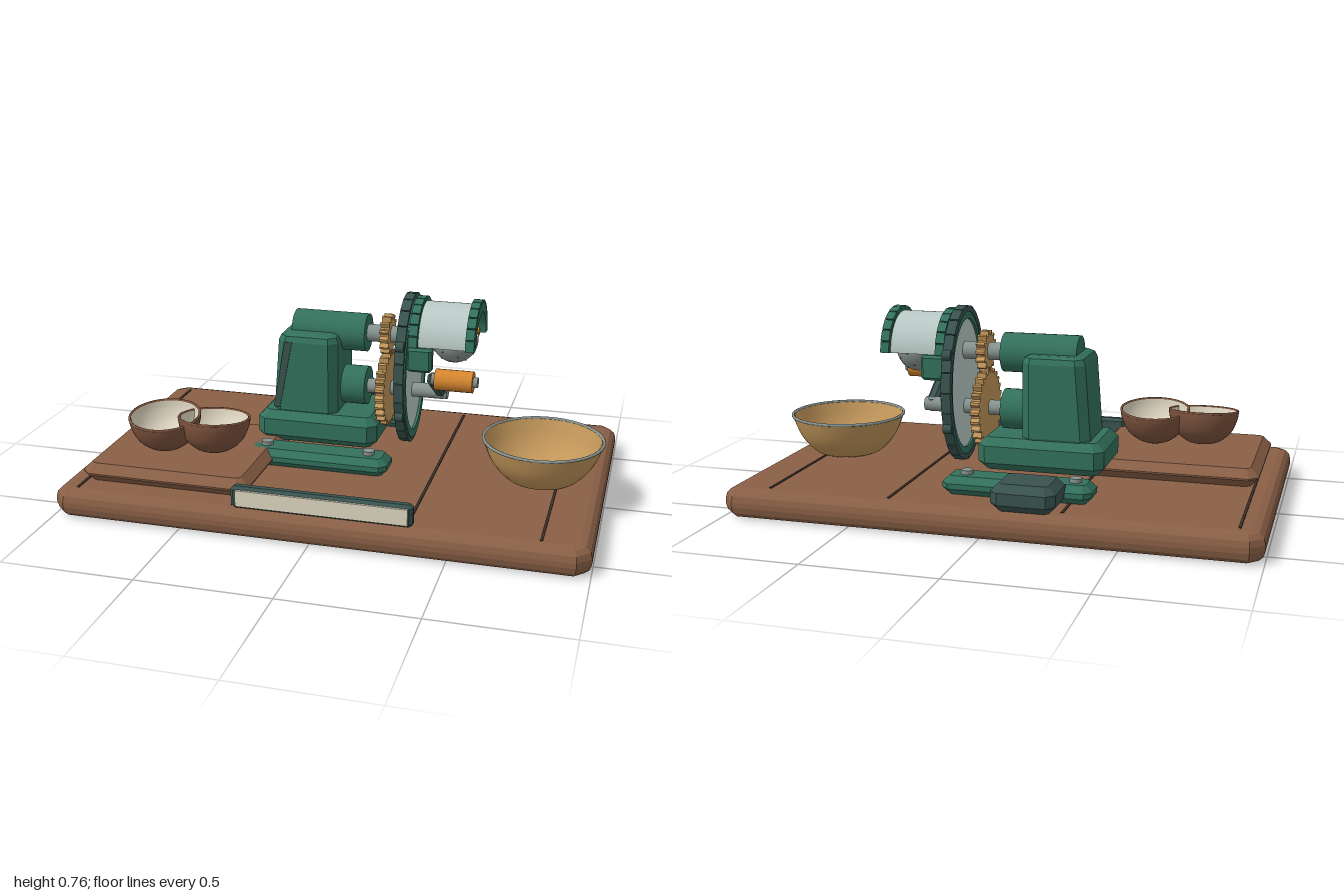
import * as THREE from 'three';

const mat = (name, color, side = THREE.FrontSide) => {
  const m = new THREE.MeshStandardMaterial({ color, side });
  m.name = name;
  return m;
};

export function createModel() {
  const model = new THREE.Group();
  model.name = 'handCrankedGrater';
  const green = mat('green enamel', 0x33715d), darkGreen = mat('dark green', 0x39534f);
  const wood = mat('wood', 0x8a6046), shell = mat('shell brown', 0x7d533d, THREE.DoubleSide);
  const brass = mat('golden', 0xc2965a, THREE.DoubleSide), orange = mat('orange', 0xd5862f);
  const cream = mat('cream', 0xded6c1, THREE.DoubleSide), steel = mat('steel', 0x87938f);
  const pale = mat('pale metal', 0xb9c9c5), dark = mat('dark groove', 0x3a2e28);
  const AZ = -0.115, UP = 0.59, LOW = 0.37; // axle line and the two axle heights

  const add = (name, geo, material, x = 0, y = 0, z = 0, parent = model) => {
    const m = new THREE.Mesh(geo, material);
    m.name = name;
    m.position.set(x, y, z);
    parent.add(m);
    return m;
  };

  // Bevelled box, centred on the origin
  const bevelBox = (w, h, d, b, seg = 1) => {
    const X = w / 2 - b, Z = d / 2 - b, c = Math.min(b * 0.5, X * 0.5, Z * 0.5);
    const s = new THREE.Shape([[X - c, -Z], [X, c - Z], [X, Z - c], [X - c, Z], [c - X, Z], [-X, Z - c], [-X, c - Z], [c - X, -Z]]
      .map(p => new THREE.Vector2(...p)));
    return new THREE.ExtrudeGeometry(s, { depth: h - 2 * b, bevelThickness: b, bevelSize: b, bevelSegments: seg })
      .rotateX(-Math.PI / 2).center();
  };
  const block = (name, m, x0, x1, y0, y1, z0, z1, b, seg) =>
    add(name, bevelBox(x1 - x0, y1 - y0, z1 - z0, b, seg), m, (x0 + x1) / 2, (y0 + y1) / 2, (z0 + z1) / 2);

  // Cylinder and extrusion running along x
  const rod = (name, m, x0, x1, r, y, z = AZ, sides = 32) =>
    add(name, new THREE.CylinderGeometry(r, r, x1 - x0, sides).rotateZ(Math.PI / 2), m, (x0 + x1) / 2, y, z);
  const extrudeX = (name, m, shape, x0, x1, y, z = AZ) =>
    add(name, new THREE.ExtrudeGeometry(shape, { depth: x1 - x0, bevelEnabled: false, curveSegments: 32 })
      .rotateY(Math.PI / 2), m, x0, y, z);

  // Board with grooves, and chopping board
  block('baseBoard', wood, -1, 1, 0, 0.11, -0.622, 0.622, 0.045, 3);
  for (const x of [-0.91, -0.295, 0.355, 0.825])
    add('boardGroove', new THREE.BoxGeometry(0.01, 0.006, 1.12), dark, x, 0.11, 0.01);
  block('choppingBoard', wood, -0.925, -0.262, 0.11, 0.18, -0.08, 0.52, 0.032);

  // Mounting rails with bolts, and counterweight
  for (const z of [0.135, -0.39]) {
    block('mountingRail', green, -0.375, 0.187, 0.11, 0.18, z - 0.07, z + 0.07, 0.025);
    for (const x of [-0.305, 0.105])
      add('railBolt', new THREE.CylinderGeometry(0.023, 0.023, 0.03, 16), steel, x, 0.18, z);
  }
  block('counterweight', darkGreen, -0.28, -0.043, 0.11, 0.21, -0.615, -0.415, 0.028);

  // Machine housing
  block('housingFoot', green, -0.375, 0.11, 0.16, 0.285, -0.27, 0.06, 0.03);
  const body = block('housingBody', green, -0.32, -0.055, 0.26, 0.6, -0.245, 0.03, 0.03, 2);
  const p = body.geometry.attributes.position;
  for (let i = 0; i < p.count; i++)
    if (p.getX(i) < 0) p.setX(i, p.getX(i) + (p.getY(i) + 0.17) * 0.08);
  body.geometry.computeVertexNormals();
  const strip = new THREE.Shape([[-0.31, 0.3], [-0.285, 0.3], [-0.232, 0.57], [-0.262, 0.57]].map(q => new THREE.Vector2(...q)));
  add('housingStrip', new THREE.ExtrudeGeometry(strip, { depth: 0.006, bevelEnabled: false }), darkGreen, 0, 0, 0.028);
  rod('upperBearing', green, -0.255, 0.04, 0.075, UP);
  rod('lowerBearing', green, -0.2, 0.04, 0.077, LOW);
  rod('upperShaft', steel, 0.04, 0.32, 0.034, UP);
  rod('lowerShaft', steel, 0.04, 0.345, 0.029, LOW);

  // Meshing gears
  const gear = (name, r, teeth, y) => {
    const s = new THREE.Shape();
    for (let i = 0; i < teeth * 4; i++) {
      const a = i / (teeth * 4) * Math.PI * 2, R = i % 4 < 2 ? r : r - 0.018;
      s[i ? 'lineTo' : 'moveTo'](R * Math.cos(a), R * Math.sin(a));
    }
    extrudeX(name, brass, s, 0.1, 0.135, y);
  };
  gear('smallGear', 0.08, 14, UP);
  gear('largeGear', 0.152, 26, LOW);

  // Oval guard plate with a segmented rim
  const CY = 0.46;
  const oval = (rz, ry) => new THREE.Shape().absellipse(0, 0, rz, ry, 0, Math.PI * 2);
  extrudeX('guardPlate', pale, oval(0.19, 0.27), 0.2, 0.222, CY);
  const ring = oval(0.2, 0.285);
  ring.holes.push(oval(0.176, 0.25));
  extrudeX('guardRing', green, ring, 0.192, 0.232, CY);
  const N = 24;
  for (let i = 0; i < N; i++) {
    const a = (i + 0.5) / N * Math.PI * 2, c = Math.cos(a), s = Math.sin(a);
    const tz = -0.2 * s, ty = 0.288 * c;
    add('rimSegment', new THREE.BoxGeometry(0.037, 0.024, Math.hypot(tz, ty) * Math.PI * 2 / N * 0.99),
      darkGreen, 0.2085, CY + 0.288 * s, AZ + 0.2 * c).rotation.x = Math.atan2(-ty, tz);
  }
  for (const y of [-0.14, 0.14]) for (const z of [-0.185, 0.185])
    rod('guardBolt', darkGreen, 0.192, 0.225, 0.02, CY + y, AZ + z, 12);

  // Half-round hood with segmented end arches
  const arch = (R, r) => {
    const s = new THREE.Shape();
    s.absarc(0, 0, R, 0, Math.PI, false);
    s.absarc(0, 0, r, Math.PI, 0, true);
    return s;
  };
  extrudeX('hood', pale, arch(0.142, 0.13), 0.25, 0.46, UP);
  for (const x of [0.232, 0.45]) {
    extrudeX('hoodArch', green, arch(0.15, 0.115), x, x + 0.036, UP);
    for (let i = 0; i < 11; i++) {
      const a = (i + 0.5) / 11 * Math.PI;
      add('archSegment', new THREE.BoxGeometry(0.034, 0.02, 0.041), green,
        x + 0.018, UP + 0.15 * Math.sin(a), AZ + 0.15 * Math.cos(a)).rotation.x = Math.PI / 2 - a;
    }
  }
  for (const s of [-1, 1])
    block('hoodBracket', green, 0.225, 0.325, 0.495, 0.59, AZ + s * 0.14 - 0.023, AZ + s * 0.14 + 0.023, 0.01);

  // Grating ball studded with small teeth
  const ball = new THREE.Vector3(0.385, UP, AZ);
  add('gratingBall', new THREE.SphereGeometry(0.09, 32, 20), steel, ...ball);
  for (let i = 0; i < 40; i++) {
    const u = 1 - (i + 0.5) / 20, a = i * 2.4, q = Math.sqrt(1 - u * u);
    const d = new THREE.Vector3(u, q * Math.cos(a), q * Math.sin(a)).multiplyScalar(0.09).add(ball);
    add('gratingTooth', new THREE.SphereGeometry(0.004, 6, 4), steel, ...d);
  }
  add('ballBlade', new THREE.BoxGeometry(0.03, 0.012, 0.07), cream, 0.462, 0.612, -0.082);
  rod('ballKnob', orange, 0.43, 0.472, 0.016, 0.616, -0.158, 16);

  // Crank
  add('crankArm', bevelBox(0.045, 0.05, 0.235, 0.012), darkGreen, 0.335, 0.424, -0.035).rotation.x = -0.558;
  rod('crankHub', steel, 0.33, 0.362, 0.027, LOW);
  rod('crankHandle', orange, 0.345, 0.49, 0.041, 0.48, 0.057, 20);
  rod('crankPin', steel, 0.33, 0.507, 0.02, 0.48, 0.057, 16);

  // Lathe-turned bowls
  const lathe = (name, pts, m, parent, n = 40) =>
    add(name, new THREE.LatheGeometry(new THREE.SplineCurve(pts.map(q => new THREE.Vector2(...q))).getPoints(18), n), m, 0, 0, 0, parent);
  const bowl = new THREE.Group();
  bowl.name = 'servingBowl';
  bowl.position.set(0.76, 0.11, 0.037);
  model.add(bowl);
  lathe('bowlOutside', [[0, 0], [0.11, 0.002], [0.16, 0.035], [0.2, 0.09], [0.228, 0.162]], brass, bowl);
  lathe('bowlInside', [[0.222, 0.162], [0.193, 0.092], [0.152, 0.042], [0.1, 0.016], [0, 0.012]], brass, bowl);
  add('bowlRim', new THREE.TorusGeometry(0.226, 0.006, 8, 48).rotateX(Math.PI / 2), steel, 0, 0.162, 0, bowl);

  // Nut halves: brown shell, cream flesh
  for (const [x, tilt] of [[-0.67, 0.11], [-0.478, -0.11]]) {
    const nut = new THREE.Group();
    nut.name = 'nutHalf';
    nut.position.set(x, 0.183, 0.268);
    nut.rotation.x = tilt;
    model.add(nut);
    lathe('nutShell', [[0, 0], [0.06, 0.01], [0.11, 0.05], [0.133, 0.1], [0.139, 0.136]], shell, nut);
    lathe('nutFlesh', [[0.131, 0.137], [0.123, 0.1], [0.1, 0.058], [0.055, 0.024], [0, 0.016]], cream, nut);
    add('nutRim', new THREE.TorusGeometry(0.135, 0.005, 8, 40).rotateX(Math.PI / 2), shell, 0, 0.136, 0, nut);
    add('nutEye', new THREE.CylinderGeometry(0.014, 0.014, 0.006, 12), shell, 0, 0.019, 0, nut);
  }

  // Cream-faced bar along the front edge
  block('frontBar', darkGreen, -0.295, 0.378, 0.11, 0.195, 0.552, 0.596, 0.012);
  add('frontBarFace', new THREE.BoxGeometry(0.635, 0.062, 0.009), cream, 0.045, 0.154, 0.6);
  return model;
}
